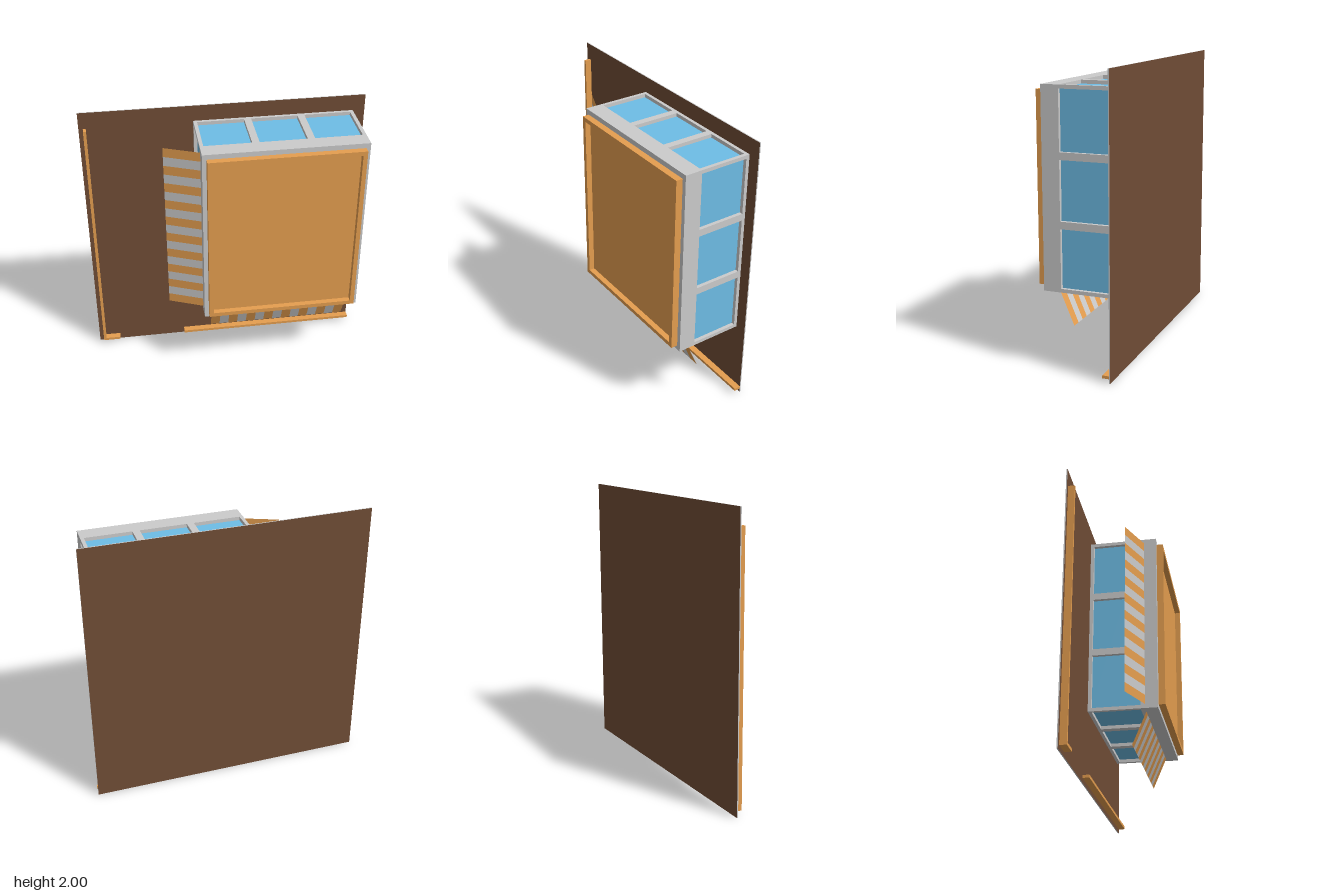
import * as THREE from 'three';

const grey = new THREE.MeshStandardMaterial({ color: 0xcccccc });
const orange = new THREE.MeshStandardMaterial({ color: 0xe59e4f });
const blue = new THREE.MeshStandardMaterial({ color: 0x6ebde6 });
const brown = new THREE.MeshStandardMaterial({ color: 0x704d36 });
const orangeCloth = new THREE.MeshStandardMaterial({ color: 0xe59e4f, side: THREE.DoubleSide });
const greyCloth = new THREE.MeshStandardMaterial({ color: 0xcccccc, side: THREE.DoubleSide });

// Box given by its limits on each axis
function box(parent, name, material, [x0, x1], [y0, y1], [z0, z1]) {
  const mesh = new THREE.Mesh(new THREE.BoxGeometry(x1 - x0, y1 - y0, z1 - z0), material);
  mesh.position.set((x0 + x1) / 2, (y0 + y1) / 2, (z0 + z1) / 2);
  mesh.name = name;
  parent.add(mesh);
}

// Striped sloping cloth between an inner and an outer edge;
// at(t, out) gives the point at t along the edge, out = 0 (wall) or 1 (rim)
function awning(parent, name, count, at) {
  const group = new THREE.Group();
  group.name = name;
  for (let i = 0; i < count; i++) {
    const a = i / count, b = (i + 1) / count;
    const corners = [at(a, 0), at(a, 1), at(b, 1), at(b, 0)];
    const geometry = new THREE.BufferGeometry();
    geometry.setAttribute('position', new THREE.Float32BufferAttribute(corners.flat(), 3));
    geometry.setIndex([0, 1, 2, 0, 2, 3]);
    geometry.computeVertexNormals();
    const stripe = new THREE.Mesh(geometry, i % 2 ? greyCloth : orangeCloth);
    stripe.name = 'awningStripe';
    group.add(stripe);
  }
  parent.add(group);
}

export function createModel() {
  const model = new THREE.Group();
  model.name = 'shopOnPlot';

  // Ground plate, lying in the xy plane
  box(model, 'ground', [grey, grey, grey, grey, brown, brown], [-1, 1], [0, 2], [-0.272, -0.264]);

  // Low boundary walls
  const wallZ = [-0.265, -0.217];
  box(model, 'sideWall', orange, [-0.97, -0.95], [0.03, 1.88], wallZ);
  box(model, 'shortWall', orange, [-0.95, -0.84], [0.03, 0.05], wallZ);
  box(model, 'longWall', orange, [-0.33, 1], [0.03, 0.05], wallZ);

  // Building: glass core inside a grey frame
  const X0 = -0.215, X1 = 0.915, Y0 = 0.54, Y1 = 1.885, d = 0.025;
  const building = new THREE.Group();
  building.name = 'building';
  model.add(building);
  const frameZ = [-0.245, 0.105];
  box(building, 'windows', blue, [X0 + d, X1 - d], [Y0 + d, Y1 - d], frameZ);
  box(building, 'sill', grey, [X0, X1], [Y0, Y1], [-0.264, -0.24]);
  box(building, 'upperWall', grey, [X0, X1], [Y0, Y1], [0.103, 0.225]);

  // Corner posts
  for (const x of [X0, X1 - d])
    for (const y of [Y0, Y1 - d]) box(building, 'cornerPost', grey, [x, x + d], [y, y + d], frameZ);

  // Bars dividing each side into three panes
  for (const k of [1, 2]) {
    const x = X0 + (X1 - X0) * k / 3, y = Y0 + (Y1 - Y0) * k / 3;
    for (const y0 of [Y0, Y1 - d]) box(building, 'windowBar', grey, [x - d, x + d], [y0, y0 + d], frameZ);
    for (const x0 of [X0, X1 - d]) box(building, 'windowBar', grey, [x0, x0 + d], [y - d, y + d], frameZ);
  }

  // Roof with a raised rim
  const rim = new THREE.Shape();
  const rect = (path, x0, x1, y0, y1) =>
    path.moveTo(x0, y0).lineTo(x1, y0).lineTo(x1, y1).lineTo(x0, y1).closePath();
  rect(rim, -0.185, 0.885, 0.572, 1.85);
  const hole = new THREE.Path();
  rect(hole, -0.155, 0.855, 0.602, 1.82);
  rim.holes.push(hole);
  const parapet = new THREE.Mesh(new THREE.ExtrudeGeometry(rim, { depth: 0.047, bevelEnabled: false }), orange);
  parapet.position.z = 0.225;
  parapet.name = 'roofRim';
  building.add(parapet);
  box(building, 'roofDeck', orange, [-0.16, 0.86], [0.6, 1.825], [0.22, 0.232]);

  // Awnings on two sides
  const slope = (out) => 0.135 - 0.1 * out;
  awning(model, 'sideAwning', 19, (t, out) => [X0 - 0.24 * out, 0.57 + 1.285 * t, slope(out)]);
  awning(model, 'lowerAwning', 15, (t, out) => [-0.15 + 1.015 * t, Y0 - 0.235 * out, slope(out)]);

  return model;
}
